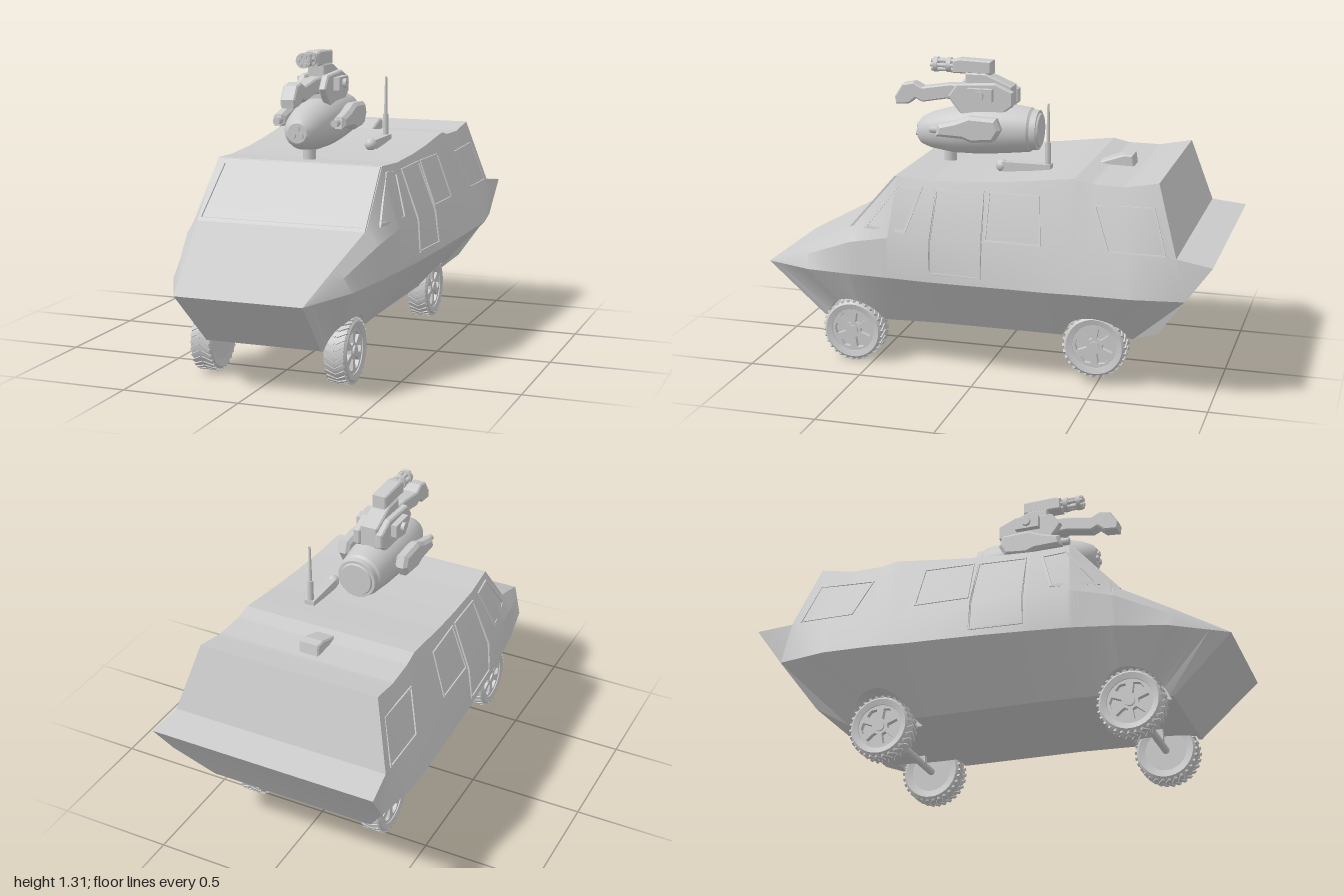
import * as THREE from 'three';
import { toCreasedNormals } from 'three/addons/utils/BufferGeometryUtils.js';

const grey = new THREE.MeshStandardMaterial({ color: 0xcccccc, side: THREE.DoubleSide });
const lerp = THREE.MathUtils.lerp;

function add(parent, name, geo, x = 0, y = 0, z = 0) {
  const m = new THREE.Mesh(geo, grey);
  m.name = name;
  m.position.set(x, y, z);
  parent.add(m);
  return m;
}
const box = (w, h, d) => new THREE.BoxGeometry(w, h, d);
const rodX = (r, l, n = 16) => new THREE.CylinderGeometry(r, r, l, n).rotateZ(Math.PI / 2);
const rodZ = (r, l, n = 16) => new THREE.CylinderGeometry(r, r, l, n).rotateX(Math.PI / 2);
const lathe = (pts, n) => toCreasedNormals(
  new THREE.LatheGeometry(pts.map(p => new THREE.Vector2(...p)), n).toNonIndexed(), 0.5);
const shapeOf = pts => new THREE.Shape(pts.map(p => new THREE.Vector2(...p)));

// side profile of [z, y] points, given a width along x and chamfered edges
function slab(pts, width, bevel = 0.006) {
  const g = new THREE.ExtrudeGeometry(shapeOf(pts), { depth: width - 2 * bevel,
    bevelEnabled: true, bevelSize: bevel, bevelThickness: bevel, bevelOffset: -bevel, bevelSegments: 1 });
  return g.translate(0, 0, bevel - width / 2).rotateY(-Math.PI / 2);
}

const wheels = [{ z: 0.59, y: 0.14 }, { z: -0.49, y: 0.172 }];
const ARCH = 0.145;

// hull stations: bottom z, roof edge, shoulder, belt, bottom edge [x, y]
const keys = [
  [0.75, [0.27, 0.405, 1], [0.27, 0.405, 1], [0.27, 0.405, 1], [0.25, 0.17]],
  [0.66, [0.32, 0.52, 0.78], [0.355, 0.48, 0.78], [0.385, 0.42, 0.77], [0.28, 0.185]],
  [0.56, [0.37, 0.63, 0.56], [0.42, 0.57, 0.56], [0.43, 0.43, 0.56], [0.3, 0.19]],
  [0.38, [0.365, 0.86, 0.36], [0.45, 0.61, 0.38], [0.458, 0.437, 0.38], [0.3, 0.195]],
  [0.2, [0.375, 0.853, 0.2], [0.465, 0.615, 0.2], [0.477, 0.44, 0.2], [0.3, 0.2]],
  [0, [0.38, 0.862, 0], [0.47, 0.615, 0], [0.492, 0.445, 0], [0.3, 0.2]],
  [-0.15, [0.384, 0.877, -0.17], [0.473, 0.617, -0.16], [0.5, 0.448, -0.16], [0.3, 0.2]],
  [-0.3, [0.386, 0.897, -0.33], [0.475, 0.62, -0.32], [0.508, 0.45, -0.32], [0.3, 0.2]],
  [-0.38, [0.388, 0.906, -0.41], [0.477, 0.622, -0.41], [0.512, 0.453, -0.4], [0.3, 0.2]],
  [-0.44, [0.39, 0.89, -0.48], [0.478, 0.625, -0.48], [0.515, 0.455, -0.46], [0.3, 0.2]],
  [-0.55, [0.395, 0.888, -0.62], [0.48, 0.63, -0.66], [0.52, 0.457, -0.68], [0.3, 0.205]],
  [-0.65, [0.4, 0.915, -0.76], [0.48, 0.63, -0.85], [0.485, 0.455, -0.89], [0.3, 0.21]],
];

// station between the keys, found by the value that get() reads from a key
function station(v, get) {
  let i = 0;
  while (i < keys.length - 2 && get(keys[i + 1]) > v) i++;
  const [a, b] = [keys[i], keys[i + 1]];
  const t = THREE.MathUtils.clamp((v - get(a)) / (get(b) - get(a)), 0, 1);
  const mix = k => a[k].map((p, j) => lerp(p, b[k][j], t));
  return { roof: mix(1), shoulder: mix(2), belt: mix(3), bottom: mix(4) };
}

// left half of one hull ring, with the wheel arches cut out of its lower edge
function halfRing(bz) {
  const { roof, shoulder, belt, bottom } = station(bz, k => k[0]);
  let y = bottom[1];
  for (const w of wheels) {
    const d = ARCH ** 2 - (bz - w.z) ** 2;
    if (d > 1e-6) y = Math.max(y, w.y + Math.sqrt(d));
  }
  const t = (y - bottom[1]) / (belt[1] - bottom[1]);
  return [roof, shoulder, belt, [lerp(bottom[0], belt[0], t), y, bz], [0.21, y, bz], [0.21, bottom[1], bz]];
}

const flip = p => [-p[0], p[1], p[2]];

function hullGeometry() {
  const zs = keys.map(k => k[0]);
  for (let i = 1; i < 90; i++) zs.push(0.75 - (1.4 * i) / 90);
  for (const w of wheels) for (const s of [-1, 1]) zs.push(w.z + s * ARCH, w.z + s * (ARCH - 0.0005));
  zs.sort((a, b) => b - a);
  const halves = zs.map(halfRing);
  const pos = [];
  const tri = (...p) => p.forEach(v => pos.push(...v));
  const quad = (a, b, c, d) => { tri(a, b, c); tri(a, c, d); };
  const rings = halves.map(h => [...h, ...h.map(flip).reverse()]);
  for (let s = 0; s + 1 < rings.length; s++) {
    const [p, q] = [rings[s], rings[s + 1]];
    p.forEach((_, i) => { const j = (i + 1) % p.length; quad(p[i], p[j], q[j], q[i]); });
  }
  // sloped underside of the nose
  const f = halves[0];
  quad(f[2], flip(f[2]), flip(f[3]), f[3]);
  // tail: rear wall, projecting ledge and undercut
  const [roof, shoulder, belt, edge] = halves[halves.length - 1];
  const tip = [0.5, 0.61, -1], low = [0.37, 0.27, -0.765];
  const tail = [roof, shoulder, tip, belt, low, edge];
  for (let i = 0; i + 1 < tail.length; i++) quad(tail[i], tail[i + 1], flip(tail[i + 1]), flip(tail[i]));
  for (const [a, b, c] of [[shoulder, belt, tip], [belt, edge, low]]) {
    tri(a, b, c);
    tri(flip(a), flip(c), flip(b));
  }
  const g = new THREE.BufferGeometry();
  g.setAttribute('position', new THREE.Float32BufferAttribute(pos, 3));
  return toCreasedNormals(g, 0.3);
}

function sideX(z, y) {
  const { roof, shoulder, belt } = station(z, k => k[2][2]);
  const [a, b] = y > shoulder[1] ? [shoulder, roof] : [belt, shoulder];
  return lerp(a[0], b[0], (y - a[1]) / (b[1] - a[1]));
}

// thin frame following the hull side, from an outline of [z, y] points
function sideFrame(pts, s, rim = 0.9) {
  const cz = pts.reduce((t, p) => t + p[0], 0) / pts.length;
  const cy = pts.reduce((t, p) => t + p[1], 0) / pts.length;
  const shape = shapeOf(pts.map(p => [s * p[0], p[1]]));
  shape.holes.push(shapeOf(pts.map(p => [s * lerp(cz, p[0], rim), lerp(cy, p[1], rim)])));
  const g = new THREE.ExtrudeGeometry(shape, { depth: 0.02, bevelEnabled: false }).rotateY(-s * Math.PI / 2);
  const p = g.attributes.position;
  for (let i = 0; i < p.count; i++) p.setX(i, p.getX(i) + s * (sideX(p.getZ(i), p.getY(i)) + 0.006));
  g.computeVertexNormals();
  return g;
}

function buildWheel() {
  const g = new THREE.Group();
  const tire = lathe([[0.09, -0.042], [0.12, -0.048], [0.131, -0.038], [0.133, 0], [0.131, 0.038], [0.12, 0.048], [0.096, 0.042], [0.092, 0.01]], 36);
  add(g, 'tire', tire.rotateZ(-Math.PI / 2));
  add(g, 'innerDisc', rodX(0.095, 0.05, 32), -0.016);
  // rim with six spoke openings
  const rim = new THREE.Shape().absarc(0, 0, 0.099, 0, Math.PI * 2);
  for (let i = 0; i < 6; i++) {
    const a = (i * Math.PI) / 3;
    const at = (r, d) => new THREE.Vector2(r * Math.cos(a + d), r * Math.sin(a + d));
    rim.holes.push(new THREE.Path([at(0.035, -0.25), at(0.08, -0.32), at(0.086, 0), at(0.08, 0.32), at(0.035, 0.25)]));
  }
  const rimGeo = new THREE.ExtrudeGeometry(rim, { depth: 0.022, bevelEnabled: false, curveSegments: 32 });
  add(g, 'rim', rimGeo.rotateY(Math.PI / 2), 0.016);
  add(g, 'hub', rodX(0.022, 0.02), 0.036);
  // chevron tread
  for (let i = 0; i < 30; i++) for (const s of [-1, 1]) {
    const a = (i / 30) * Math.PI * 2;
    const block = box(0.046, 0.01, 0.013).rotateY(s * 0.5).translate(s * 0.021, 0.132, 0).rotateX(a);
    add(g, 'treadBlock', block);
  }
  return g;
}

function buildTurret() {
  const g = new THREE.Group();
  g.name = 'turret';
  add(g, 'pedestal', new THREE.CylinderGeometry(0.028, 0.028, 0.12, 16), 0, 0.89, 0.24);
  // rounded gun body, drooping slightly at the nose
  const body = lathe([[0, -0.17], [0.07, -0.17], [0.074, -0.162], [0.086, -0.162], [0.088, -0.135], [0.096, -0.125], [0.108, -0.02],
    [0.111, 0.1], [0.102, 0.22], [0.08, 0.32], [0.06, 0.365], [0.042, 0.38], [0, 0.38]], 32).rotateX(Math.PI / 2);
  const p = body.attributes.position;
  for (let i = 0; i < p.count; i++) p.setY(i, p.getY(i) - 0.03 * Math.max(0, p.getZ(i) / 0.38));
  add(g, 'gunBody', body, 0, 1.01, 0);
  for (let i = 0; i < 3; i++) {
    const a = Math.PI / 2 + (i * Math.PI * 2) / 3;
    add(g, 'noseBarrel', rodZ(0.013, 0.03, 12), 0.02 * Math.cos(a), 0.98 + 0.02 * Math.sin(a), 0.375);
  }
  for (const s of [-1, 1]) {
    add(g, 'sidePod', slab([[0.26, 0.99], [0.25, 1.04], [0.17, 1.06], [0.11, 1.085], [-0.01, 1.08], [-0.03, 1.03], [0, 0.98], [0.1, 0.97], [0.14, 0.985]], 0.055, 0.014), s * 0.137);
    add(g, 'podBarrel', rodZ(0.016, 0.1, 10), s * 0.13, 1.015, 0.24);
    add(g, 'upperArm', slab([[0.21, 1.12], [0.23, 1.15], [0.19, 1.205], [0.02, 1.215], [-0.06, 1.18], [-0.06, 1.12], [0.03, 1.05], [0.15, 1.05]], 0.032), s * 0.052);
    add(g, 'armCover', box(0.03, 0.055, 0.11), s * 0.08, 1.165, 0.08);
    add(g, 'armKnob', rodX(0.02, 0.025, 8), s * 0.098, 1.165, 0.08);
  }
  add(g, 'neck', slab([[0.16, 1.05], [0.16, 1.25], [0.07, 1.25], [-0.05, 1.2], [-0.05, 1.05]], 0.08), 0);
  add(g, 'mainGun', slab([[0.48, 1.095], [0.485, 1.13], [0.45, 1.185], [0.4, 1.195], [0.36, 1.175], [0.24, 1.195], [0.05, 1.2], [0.05, 1.12], [0.25, 1.13], [0.36, 1.11], [0.39, 1.125], [0.42, 1.1]], 0.064), 0);
  // rotary gun on top
  add(g, 'rotaryReceiver', slab([[0.22, 1.245], [0.22, 1.3], [0.19, 1.308], [0.045, 1.303], [0.045, 1.245]], 0.066), 0);
  for (let i = 0; i < 6; i++) {
    const a = (i * Math.PI) / 3;
    add(g, 'rotaryBarrel', rodZ(0.009, 0.11, 8), 0.021 * Math.cos(a), 1.275 + 0.021 * Math.sin(a), 0.265);
  }
  for (const z of [0.24, 0.3]) add(g, 'barrelCollar', rodZ(0.033, 0.02, 12), 0, 1.275, z);
  return g;
}

export function createModel() {
  const model = new THREE.Group();
  add(model, 'hull', hullGeometry());

  // windshield frame lying on the sloped front
  const screen = shapeOf([[-0.368, 0.625], [0.368, 0.625], [0.362, 0.858], [-0.362, 0.858]]);
  screen.holes.push(shapeOf([[-0.355, 0.638], [0.355, 0.638], [0.325, 0.84], [-0.325, 0.84]]));
  const frame = new THREE.ExtrudeGeometry(screen, { depth: 0.02, bevelEnabled: false });
  const p = frame.attributes.position;
  for (let i = 0; i < p.count; i++) p.setZ(i, p.getZ(i) - 0.008 + 0.56 - (p.getY(i) - 0.63) * 0.87);
  frame.computeVertexNormals();
  add(model, 'windshieldFrame', frame);

  // side openings, mirrored
  const outlines = {
    frontWindow: [[0.5, 0.635], [0.3, 0.635], [0.24, 0.825], [0.345, 0.835]],
    door: [[0.19, 0.475], [-0.04, 0.475], [-0.04, 0.616], [-0.03, 0.83], [0.18, 0.825], [0.19, 0.616]],
    rearWindow: [[-0.05, 0.635], [-0.29, 0.635], [-0.27, 0.83], [-0.05, 0.83]],
    rearHatch: [[-0.57, 0.635], [-0.81, 0.635], [-0.75, 0.82], [-0.5, 0.81]],
  };
  for (const s of [-1, 1]) for (const [name, pts] of Object.entries(outlines))
    add(model, name + 'Frame', sideFrame(pts, s, name === 'frontWindow' ? 0.86 : 0.95));

  // running gear
  for (const w of wheels) {
    add(model, 'axle', rodX(0.016, 0.54), 0, w.y, w.z);
    for (const s of [-1, 1]) {
      const wheel = buildWheel();
      wheel.name = 'wheel';
      wheel.position.set(s * 0.292, w.y, w.z);
      if (s < 0) wheel.rotation.y = Math.PI;
      model.add(wheel);
      add(model, 'axleStrut', box(0.025, 0.08, 0.04), s * 0.135, w.y + 0.04, w.z);
    }
  }

  // roof fittings
  model.add(buildTurret());
  add(model, 'roofVent', slab([[-0.43, 0.87], [-0.44, 0.9], [-0.54, 0.935], [-0.58, 0.935], [-0.59, 0.87]], 0.09), 0);
  add(model, 'antennaBase', box(0.045, 0.04, 0.21), 0.175, 0.888, -0.155);
  add(model, 'antennaBall', new THREE.SphereGeometry(0.027, 20, 14), 0.175, 0.888, -0.045);
  add(model, 'antennaMount', new THREE.CylinderGeometry(0.013, 0.013, 0.1, 12), 0.175, 0.95, -0.245);
  add(model, 'antennaMast', new THREE.CylinderGeometry(0.005, 0.009, 0.2, 10), 0.175, 1.066, -0.245);
  return model;
}
